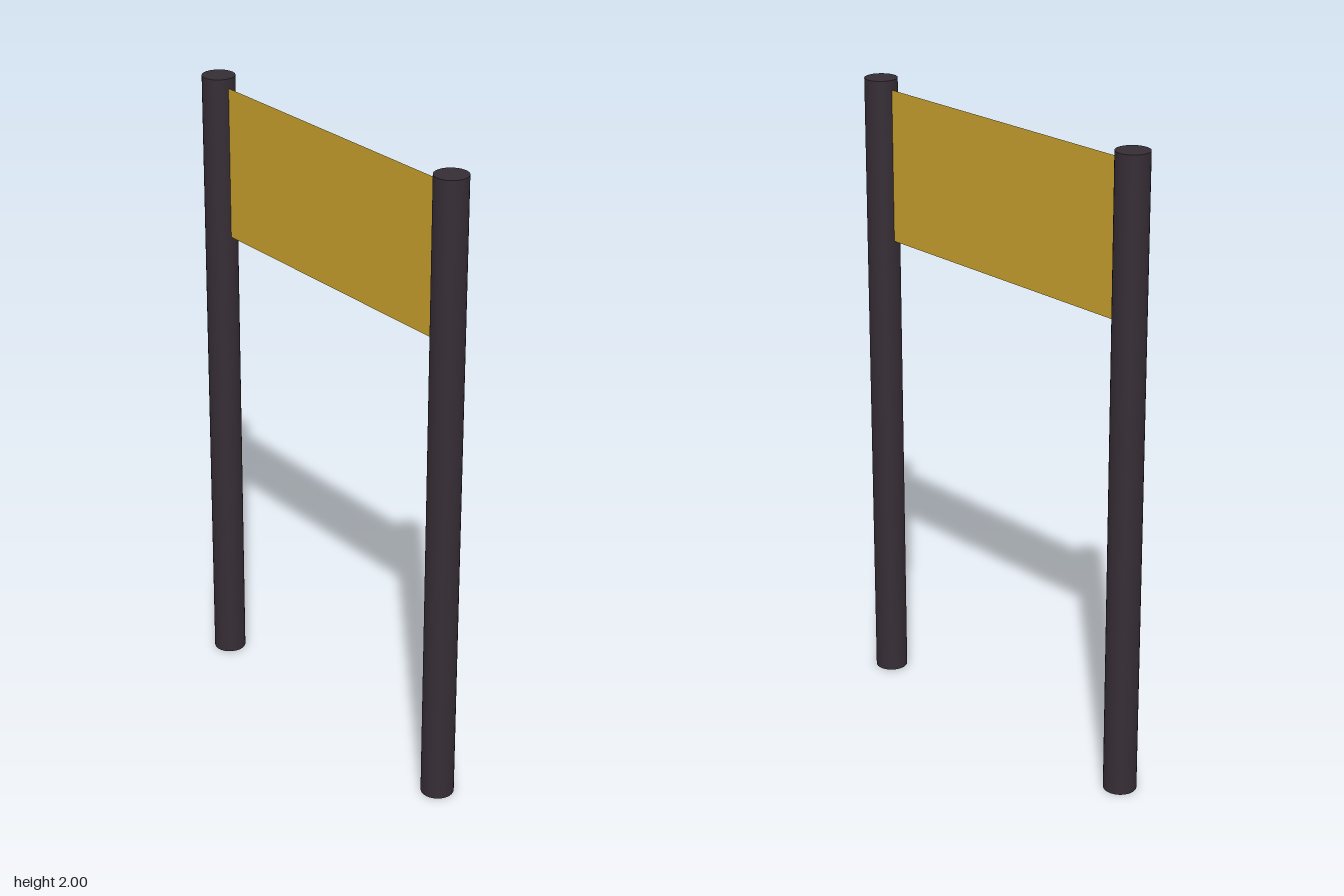
import * as THREE from 'three';

export function createModel() {
  const model = new THREE.Group();
  model.name = 'signBoard';

  const postMaterial = new THREE.MeshStandardMaterial({ color: 0x352d35 });
  postMaterial.name = 'dark post';
  const panelMaterial = new THREE.MeshStandardMaterial({ color: 0xc8a02d, side: THREE.DoubleSide });
  panelMaterial.name = 'gold panel';

  const postX = 0.543, postRadius = 0.051, postHeight = 2;
  const panelBottom = 1.49, panelTop = 1.97;

  // Two round posts
  const postGeometry = new THREE.CylinderGeometry(postRadius, postRadius, postHeight, 32);
  for (const [name, side] of [['leftPost', 1], ['rightPost', -1]]) {
    const post = new THREE.Mesh(postGeometry, postMaterial);
    post.name = name;
    post.position.set(side * postX, postHeight / 2, 0);
    model.add(post);
  }

  // Thin sheet held between the posts
  const panelWidth = 2 * (postX - postRadius) + 0.004;
  const panel = new THREE.Mesh(
    new THREE.PlaneGeometry(panelWidth, panelTop - panelBottom),
    panelMaterial
  );
  panel.name = 'panel';
  panel.position.y = (panelBottom + panelTop) / 2;
  model.add(panel);

  return model;
}
